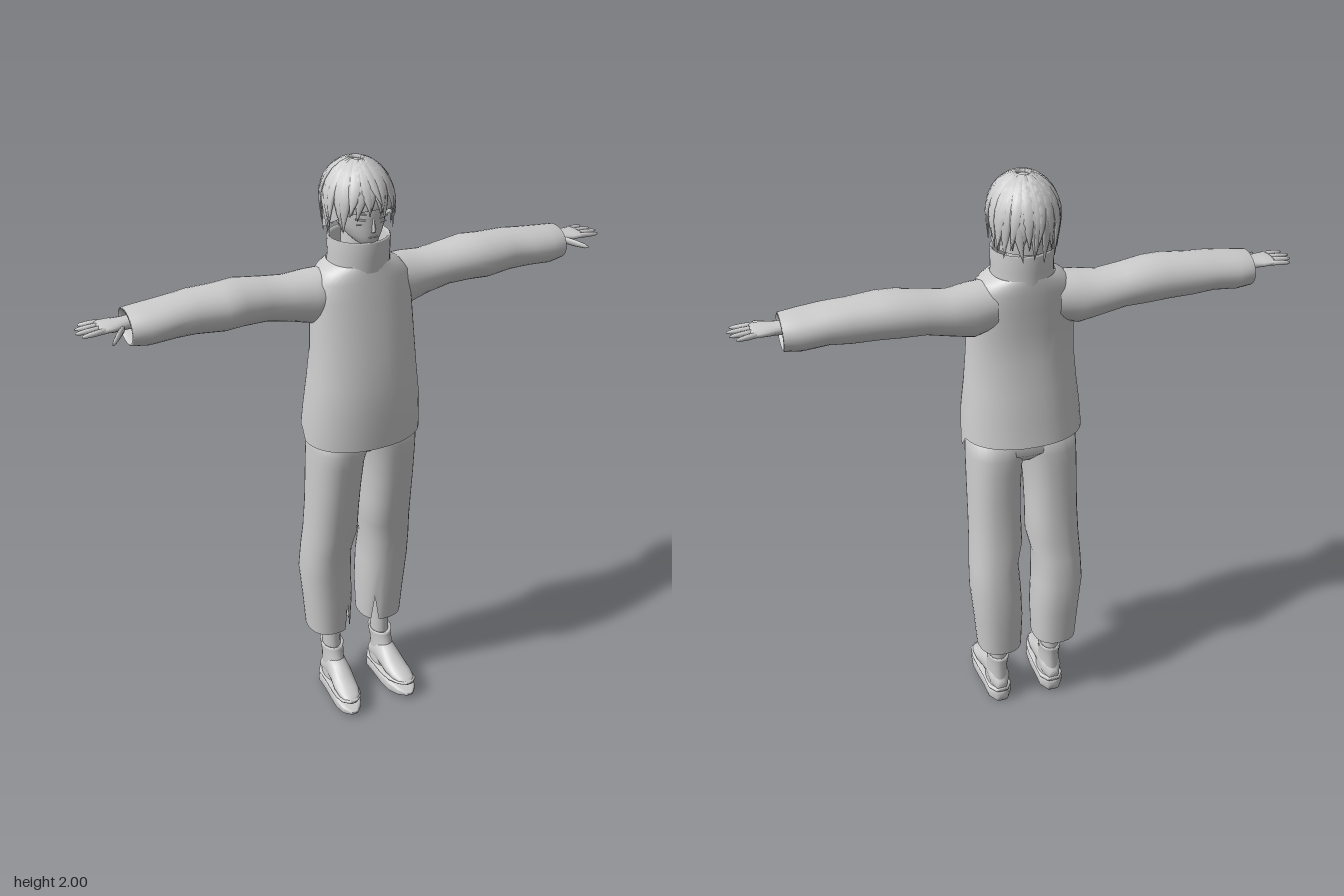
import * as THREE from 'three';

const grey = new THREE.MeshStandardMaterial({ color: 0xcccccc, side: THREE.DoubleSide });
grey.name = 'light grey';

// Small seeded random
let seed = 7;
const rnd = (a, b) => {
  seed = (seed * 16807) % 2147483647;
  return a + (b - a) * (seed / 2147483647);
};

// Skin a list of closed rings (arrays of [x, y, z])
function skin(rings, capStart, capEnd) {
  const n = rings[0].length, pos = rings.flat(2), idx = [];
  for (let r = 0; r < rings.length - 1; r++) {
    for (let i = 0; i < n; i++) {
      const a = r * n + i, b = r * n + (i + 1) % n;
      idx.push(a, b, b + n, a, b + n, a + n);
    }
  }
  const cap = (r, flip) => {
    const c = pos.length / 3, ring = rings[r];
    for (let k = 0; k < 3; k++) pos.push(ring.reduce((s, v) => s + v[k], 0) / n);
    for (let i = 0; i < n; i++) {
      const a = r * n + i, b = r * n + (i + 1) % n;
      idx.push(...(flip ? [c, b, a] : [c, a, b]));
    }
  };
  if (capStart) cap(0, true);
  if (capEnd) cap(rings.length - 1, false);
  const g = new THREE.BufferGeometry();
  g.setAttribute('position', new THREE.Float32BufferAttribute(pos, 3));
  g.setIndex(idx);
  g.computeVertexNormals();
  return g;
}

// Loft superellipse sections along an axis; a row is [t, aMin, aMax, bMin, bMax],
// where a and b are the next two axes in x-y-z-x order
function loft(axis, rows, { n = 28, p = 1, start = false, end = false, edit } = {}) {
  const k = 'xyz'.indexOf(axis);
  const pow = (v) => Math.sign(v) * Math.abs(v) ** p;
  const rings = rows.map(([t, a0, a1, b0, b1], r) => Array.from({ length: n }, (_, i) => {
    const ang = i / n * Math.PI * 2, v = [0, 0, 0];
    v[k] = t;
    v[(k + 1) % 3] = (a0 + a1) / 2 + (a1 - a0) / 2 * pow(Math.cos(ang));
    v[(k + 2) % 3] = (b0 + b1) / 2 + (b1 - b0) / 2 * pow(Math.sin(ang));
    if (edit) edit(v, r, i, ang);
    return v;
  }));
  return skin(rings, start, end);
}

function mirrored(geo) {
  const g = geo.clone().scale(-1, 1, 1), ix = g.index.array;
  for (let i = 0; i < ix.length; i += 3) [ix[i], ix[i + 1]] = [ix[i + 1], ix[i]];
  g.computeVertexNormals();
  return g;
}

// A finger: tapered rounded rod running along x while drifting in y and z
function finger(x0, y0, z0, x1, y1, z1, r) {
  const rows = [[0, 1], [0.5, 0.95], [0.85, 0.7], [1, 0.25]].map(([t, s]) => {
    const y = y0 + (y1 - y0) * t, z = z0 + (z1 - z0) * t;
    return [x0 + (x1 - x0) * t, y - r * s, y + r * s, z - r * s, z + r * s];
  });
  return loft('x', rows, { n: 8, start: true, end: true });
}

// A flat tapering lock of hair following the skull from the crown to yEnd
function hairLock(th, yEnd, width, sway, lift) {
  const L = Math.PI / 2 + (1.87 - yEnd) / 0.12, rings = [];
  for (let j = 0; j <= 8; j++) {
    const t = j / 8, q = 0.2 + (L - 0.2) * t, drop = Math.max(0, q - Math.PI / 2);
    const f = (drop ? 1 - 0.1 * drop : Math.sin(q)) + lift * t * t;
    const y = drop ? 1.87 - 0.12 * drop : 1.87 + 0.125 * Math.cos(q);
    const a = th + sway * t * t, s = Math.sin(a), c = Math.cos(a);
    const w = width * (0.25 + 1.1 * Math.sin(Math.PI * Math.min(1, t * 0.85 + 0.1))) * (1 - t ** 4) + 0.0008;
    const h = 0.008 * (1 - t * t) + 0.0008, up = drop ? 0 : Math.cos(q);
    rings.push(Array.from({ length: 6 }, (_, i) => {
      const u = w * Math.cos(i * Math.PI / 3), v = h * Math.sin(i * Math.PI / 3);
      const out = v * Math.sqrt(1 - up * up);
      return [0.106 * f * s + u * c + out * s, y + v * up, -0.025 + 0.128 * f * c - u * s + out * c];
    }));
  }
  return skin(rings, true, true);
}

export function createModel() {
  const model = new THREE.Group();
  model.name = 'figure';
  const add = (name, geo, parent = model) => {
    const m = new THREE.Mesh(geo, grey);
    m.name = name;
    parent.add(m);
    return m;
  };
  const pair = (name, geo) => {
    add(name + 'Left', geo);
    add(name + 'Right', mirrored(geo));
  };

  // Jacket body: the hem rises towards the back
  add('jacketBody', loft('y', [
    [1.08, -0.155, 0.15, -0.2, 0.2], [1.2, -0.14, 0.153, -0.196, 0.196], [1.3, -0.128, 0.147, -0.184, 0.184],
    [1.4, -0.108, 0.132, -0.176, 0.176], [1.5, -0.105, 0.115, -0.172, 0.172], [1.58, -0.11, 0.1, -0.17, 0.17],
    [1.635, -0.112, 0.09, -0.162, 0.162], [1.665, -0.112, 0.083, -0.135, 0.135], [1.685, -0.11, 0.08, -0.1, 0.1],
  ], { n: 40, p: 0.9, edit: (v, r, i, a) => { if (r === 0) v[1] += Math.cos(a) < -0.1 ? 0.04 : 0; } }));

  // Standing collar with a rolled rim
  add('collar', loft('y', [
    [1.665, -0.112, 0.084, -0.1, 0.1], [1.71, -0.11, 0.086, -0.098, 0.098], [1.76, -0.112, 0.087, -0.1, 0.1],
    [1.765, -0.107, 0.082, -0.095, 0.095], [1.755, -0.1, 0.075, -0.088, 0.088], [1.69, -0.098, 0.07, -0.085, 0.085],
  ], { n: 36 }));

  // Sleeves with loose folds and hollow cuffs
  pair('sleeve', loft('x', [
    [0.1, 1.51, 1.668, -0.1, 0.055], [0.17, 1.492, 1.666, -0.112, 0.052], [0.24, 1.51, 1.657, -0.115, 0.04],
    [0.32, 1.528, 1.666, -0.118, 0.044], [0.4, 1.53, 1.678, -0.122, 0.052], [0.46, 1.53, 1.676, -0.115, 0.06],
    [0.55, 1.535, 1.672, -0.116, 0.044], [0.62, 1.54, 1.665, -0.113, 0.053], [0.7, 1.534, 1.657, -0.114, 0.05],
    [0.752, 1.54, 1.652, -0.108, 0.038], [0.755, 1.546, 1.646, -0.102, 0.032], [0.74, 1.55, 1.642, -0.098, 0.028],
    [0.67, 1.56, 1.632, -0.085, 0.016],
  ]));

  // Hands
  pair('palm', loft('x', [
    [0.64, 1.575, 1.635, -0.07, -0.005], [0.74, 1.588, 1.63, -0.062, -0.01], [0.77, 1.592, 1.628, -0.066, 0],
    [0.8, 1.595, 1.627, -0.075, 0.01], [0.83, 1.6, 1.625, -0.078, 0.013], [0.84, 1.606, 1.62, -0.074, 0.009],
  ], { n: 16, start: true, end: true }));
  [[-0.067, -0.078, 0.885], [-0.044, -0.05, 0.901], [-0.021, -0.021, 0.908], [0.002, 0.008, 0.896]]
    .forEach(([z0, z1, tip]) => pair('finger', finger(0.825, 1.613, z0, tip, 1.61, z1, 0.0095)));
  pair('thumb', finger(0.768, 1.605, -0.008, 0.824, 1.592, 0.06, 0.012));

  // Trouser legs, with a small slit in each front hem
  pair('trouserLeg', loft('y', [
    [0.27, -0.145, 0.02, 0.025, 0.178], [0.4, -0.152, 0.03, 0.02, 0.188], [0.52, -0.155, 0.037, 0.025, 0.199],
    [0.62, -0.139, 0.05, 0.03, 0.196], [0.7, -0.13, 0.064, 0.012, 0.191], [0.8, -0.12, 0.08, 0.014, 0.188],
    [0.9, -0.115, 0.095, 0.012, 0.187], [1, -0.112, 0.108, 0.005, 0.186], [1.05, -0.11, 0.115, -0.008, 0.185],
    [1.14, -0.1, 0.115, -0.02, 0.18],
  ], { n: 32, p: 0.85, end: true, edit: (v, r, i) => { if (r === 0 && i === 29) v[1] = 0.37; } }));
  add('trouserSeat', loft('y', [
    [1.02, -0.07, 0.06, -0.05, 0.05], [1.06, -0.108, 0.108, -0.15, 0.15], [1.14, -0.105, 0.118, -0.18, 0.18],
  ], { start: true, end: true }));

  // Ankles, shoes and soles
  pair('ankle', loft('y', [
    [0.15, -0.08, 0, 0.066, 0.13], [0.25, -0.078, -0.002, 0.068, 0.13], [0.4, -0.09, 0, 0.06, 0.14],
  ], { n: 18 }));
  pair('shoeShaft', loft('y', [
    [0.05, -0.088, 0.05, 0.06, 0.137], [0.1, -0.085, 0.05, 0.063, 0.136], [0.15, -0.085, 0.028, 0.064, 0.134],
    [0.185, -0.09, 0.014, 0.06, 0.136], [0.2, -0.092, 0.016, 0.058, 0.138], [0.19, -0.078, 0, 0.068, 0.128],
  ], { n: 20 }));
  pair('shoeUpper', loft('z', [
    [-0.09, 0.08, 0.118, 0.05, 0.09], [-0.06, 0.062, 0.136, 0.046, 0.13], [0, 0.06, 0.138, 0.048, 0.165],
    [0.04, 0.06, 0.142, 0.05, 0.145], [0.08, 0.062, 0.148, 0.05, 0.115], [0.12, 0.068, 0.148, 0.055, 0.098],
    [0.15, 0.08, 0.142, 0.06, 0.085], [0.165, 0.098, 0.126, 0.064, 0.075],
  ], { n: 20, start: true, end: true }));
  pair('shoeWelt', loft('z', [
    [-0.092, 0.075, 0.122, 0.045, 0.062], [-0.06, 0.056, 0.142, 0.042, 0.06], [0, 0.055, 0.144, 0.046, 0.062],
    [0.06, 0.054, 0.15, 0.05, 0.064], [0.11, 0.058, 0.155, 0.055, 0.07], [0.15, 0.074, 0.15, 0.06, 0.076],
    [0.17, 0.098, 0.128, 0.062, 0.074],
  ], { n: 16, p: 0.7, start: true, end: true }));
  pair('sole', loft('z', [
    [-0.09, 0.075, 0.122, 0, 0.05], [-0.06, 0.056, 0.142, 0, 0.048], [0, 0.056, 0.144, 0, 0.05],
    [0.06, 0.054, 0.15, 0, 0.052], [0.11, 0.058, 0.154, 0.003, 0.052], [0.15, 0.074, 0.148, 0.01, 0.042],
    [0.177, 0.1, 0.126, 0.018, 0.03],
  ], { n: 20, p: 0.5, start: true, end: true }));

  // Neck and head
  add('neck', loft('y', [[1.66, -0.07, 0.04, -0.055, 0.055], [1.8, -0.075, 0.03, -0.05, 0.05]], { n: 20 }));
  add('head', loft('y', [
    [1.748, 0.03, 0.07, -0.015, 0.015], [1.76, -0.01, 0.083, -0.035, 0.035], [1.785, -0.08, 0.087, -0.058, 0.058],
    [1.81, -0.105, 0.089, -0.071, 0.071], [1.84, -0.12, 0.089, -0.079, 0.079], [1.88, -0.13, 0.09, -0.085, 0.085],
    [1.94, -0.12, 0.07, -0.075, 0.075], [1.975, -0.06, 0.02, -0.03, 0.03],
  ], { start: true, end: true }));

  // Face details
  const box = (w, h, d) => new THREE.BoxGeometry(w, h, d);
  add('nose', loft('y', [
    [1.797, 0.08, 0.091, -0.007, 0.007], [1.803, 0.08, 0.1, -0.006, 0.006], [1.84, 0.08, 0.09, -0.004, 0.004],
  ], { n: 8, start: true, end: true }));
  add('mouth', box(0.028, 0.003, 0.006).translate(0, 1.782, 0.086));
  pair('upperLid', box(0.032, 0.005, 0.008).rotateZ(0.12).rotateY(0.35).translate(0.038, 1.84, 0.078));
  pair('lowerLid', box(0.024, 0.003, 0.006).rotateY(0.35).translate(0.038, 1.823, 0.076));
  pair('eyebrow', box(0.034, 0.004, 0.008).rotateZ(0.15).rotateY(0.35).translate(0.038, 1.858, 0.079));

  // Hair: a cap under three layers of pointed locks
  const hair = new THREE.Group();
  hair.name = 'hair';
  model.add(hair);
  const capRows = [1.87, 1.9, 1.94, 1.97, 1.988].map((y) => {
    const f = Math.sqrt(1 - ((y - 1.87) / 0.122) ** 2);
    return [y, -0.025 - 0.124 * f, -0.025 + 0.122 * f, -0.103 * f, 0.103 * f];
  });
  capRows.unshift([1.869, -0.145, 0.095, -0.102, 0.102]);
  add('hairCap', loft('y', capRows, {
    n: 36, end: true,
    edit: (v, r, i, a) => { if (r === 0) v[1] = 1.87 - 0.085 * Math.min(1, (1 - Math.cos(a)) * 0.8); },
  }), hair);
  for (const [count, width, rise] of [[22, 0.017, 0], [19, 0.015, 0.02], [15, 0.012, 0.045]]) {
    for (let i = 0; i < count; i++) {
      const th = (i + rnd(-0.3, 0.3)) / count * Math.PI * 2, c = Math.cos(th);
      const base = c > 0.75 ? 1.835 : c > 0.3 ? 1.795 : c > -0.4 ? 1.775 : 1.762;
      add('hairLock', hairLock(th, base + rise + rnd(-0.01, 0.022), width, rnd(-0.25, 0.25), rnd(0, 0.1)), hair);
    }
  }
  return model;
}
